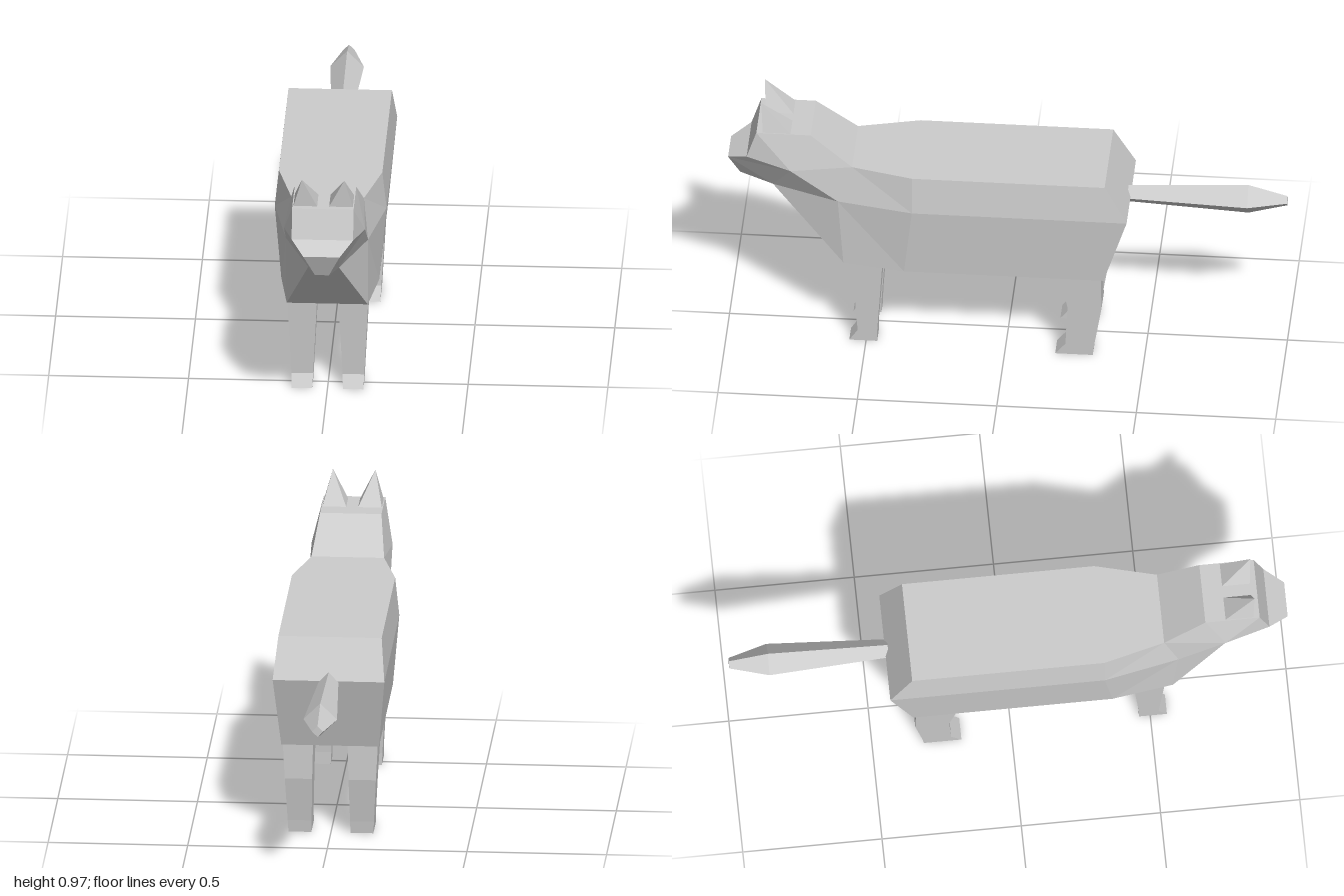
import * as THREE from 'three';

const material = new THREE.MeshStandardMaterial({ color: 0xcccccc, flatShading: true, side: THREE.DoubleSide });
const V = (x, y, z) => new THREE.Vector3(x, y, z);

// Faceted skin over rings of points (clockwise seen from the last ring), closed at both ends.
function loft(name, rings) {
  const pos = [];
  const tri = (a, b, c) => {
    const area = b.clone().sub(a).cross(c.clone().sub(a)).length();
    if (area > 1e-7) for (const p of [a, b, c]) pos.push(p.x, p.y, p.z);
  };
  const quad = (a, b, c, d) => {
    if (a.distanceTo(c) <= b.distanceTo(d)) { tri(a, b, c); tri(a, c, d); }
    else { tri(a, b, d); tri(b, c, d); }
  };
  const n = rings[0].length;
  for (let i = 0; i < rings.length - 1; i++) {
    const p = rings[i], q = rings[i + 1];
    for (let j = 0; j < n; j++) {
      const k = (j + 1) % n;
      quad(p[j], q[j], q[k], p[k]);
    }
  }
  // End caps as strips, so they may be folded
  const first = rings[0], last = rings[rings.length - 1];
  for (let j = 0; j < n / 2 - 1; j++) {
    const k = n - 1 - j;
    quad(first[j], first[j + 1], first[k - 1], first[k]);
    quad(last[k], last[k - 1], last[j + 1], last[j]);
  }
  const g = new THREE.BufferGeometry();
  g.setAttribute('position', new THREE.Float32BufferAttribute(pos, 3));
  g.computeVertexNormals();
  const mesh = new THREE.Mesh(g, material);
  mesh.name = name;
  return mesh;
}

// Full ring from its left half, listed top to bottom
function mirrorRing(half) {
  const left = half.map(p => V(...p));
  return [...left, ...left.map(p => V(-p.x, p.y, p.z)).reverse()];
}

// Horizontal rectangle
const rect = (x0, x1, y, zb, zf) => [V(x0, y, zb), V(x1, y, zb), V(x1, y, zf), V(x0, y, zf)];

// Leg from levels [y, back z, front z], tapering from top [inner, outer] to bottom [inner, outer]
function leg(name, side, levels, top, bottom) {
  return loft(name, levels.map(([y, zb, zf]) => {
    const t = y / 0.34;
    const a = side * THREE.MathUtils.lerp(bottom[0], top[0], t);
    const b = side * THREE.MathUtils.lerp(bottom[1], top[1], t);
    return rect(Math.min(a, b), Math.max(a, b), y, zb, zf);
  }));
}

export function createModel() {
  const model = new THREE.Group();
  model.name = 'animal';

  // Body, neck and head in one skin: back edge, flank, nose line, belly
  const sections = [
    [[0.185, 0.75, -0.36], [0.2, 0.61, -0.44], [0.2, 0.61, -0.44], [0.175, 0.34, -0.355]],
    [[0.185, 0.75, 0.33], [0.2, 0.61, 0.33], [0.2, 0.61, 0.33], [0.175, 0.34, 0.36]],
    [[0.13, 0.75, 0.55], [0.147, 0.61, 0.6], [0.147, 0.61, 0.6], [0.145, 0.345, 0.58]],
    [[0.11, 0.865, 0.7], [0.145, 0.73, 0.77], [0.145, 0.73, 0.77], [0.055, 0.61, 0.84]],
    [[0.11, 0.865, 0.895], [0.11, 0.76, 0.93], [0.065, 0.725, 1], [0.025, 0.635, 0.96]],
  ];
  model.add(loft('bodyAndHead', sections.map(mirrorRing)));

  // Tail with a diamond section: [z, half width, bottom, top]
  const tail = [[-1, 0.02, 0.585, 0.625], [-0.86, 0.06, 0.545, 0.665], [-0.43, 0.035, 0.57, 0.64]];
  model.add(loft('tail', tail.map(([z, w, y0, y1]) =>
    [V(0, y1, z), V(w, 0.605, z), V(0, y0, z), V(-w, 0.605, z)])));

  const frontLevels = [[0, 0.46, 0.56], [0.045, 0.46, 0.53], [0.35, 0.44, 0.55]];
  const hindLevels = [[0, -0.315, -0.18], [0.045, -0.32, -0.217], [0.21, -0.347, -0.225], [0.35, -0.345, -0.197]];
  for (const s of [1, -1]) {
    const label = s > 0 ? 'left' : 'right';
    model.add(leg(label + 'FrontLeg', s, frontLevels, [0.038, 0.145], [0.055, 0.128]));
    model.add(leg(label + 'HindLeg', s, hindLevels, [0.062, 0.17], [0.07, 0.152]));

    // Pointed ear
    const x = [s * 0.02, s * 0.107].sort((a, b) => a - b);
    model.add(loft(label + 'Ear', [rect(x[0], x[1], 0.862, 0.77, 0.872),
      Array.from({ length: 4 }, () => V(s * 0.076, 0.972, 0.88))]));
  }
  return model;
}
